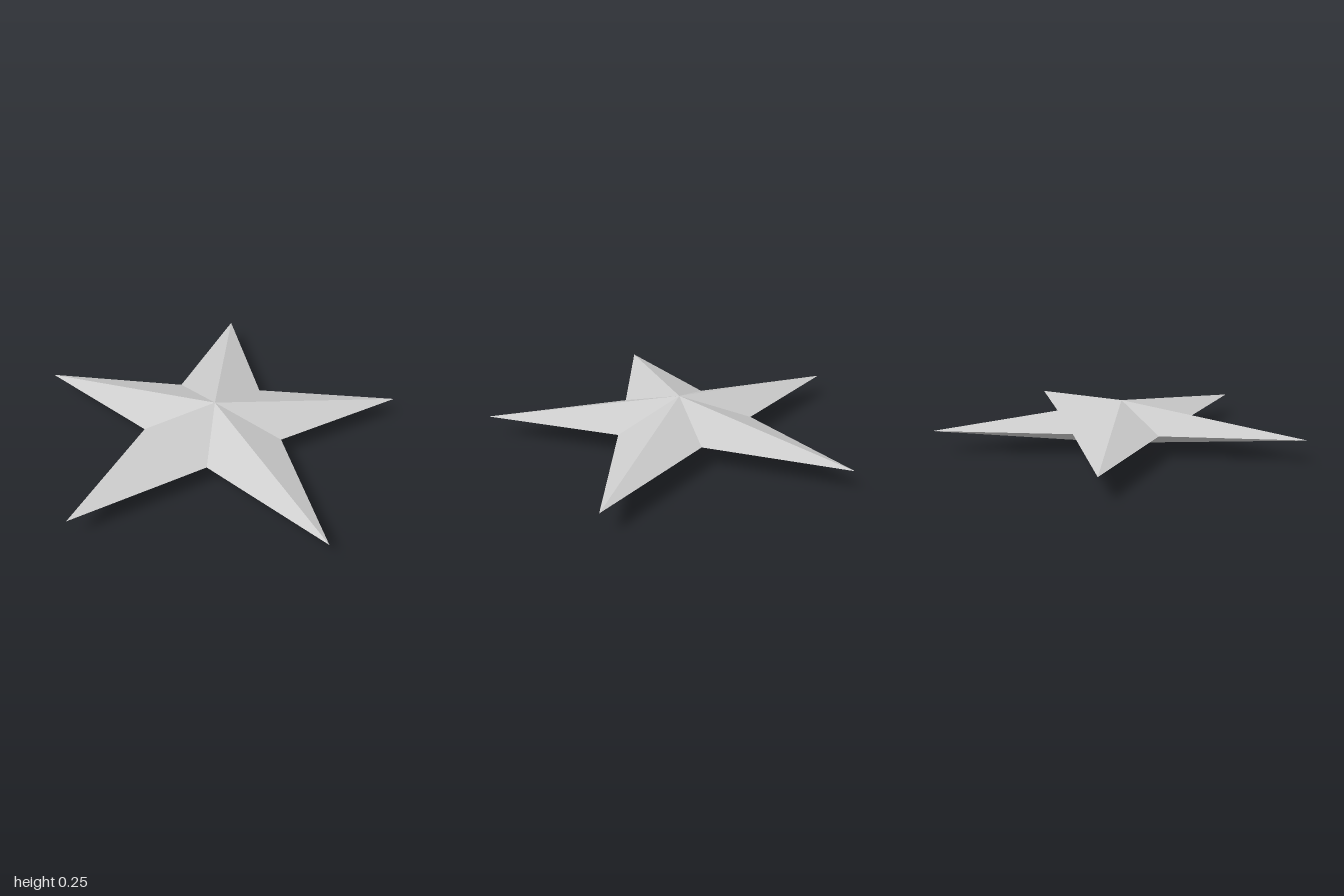
import * as THREE from 'three';

const ARMS = 5, OUTER = 1.051, INNER = 0.39, HALF_HEIGHT = 0.125;
const CENTRE_X = 0.1, TURN = -0.006;

// Rim of alternating tips and notches, counter-clockwise from above
function rimPoint(i) {
  const r = i % 2 === 0 ? OUTER : INNER;
  const a = Math.PI + TURN + (i * Math.PI) / ARMS;
  return [CENTRE_X + r * Math.cos(a), HALF_HEIGHT, -r * Math.sin(a)];
}

export function createModel() {
  const group = new THREE.Group();
  group.name = 'facetedStar';
  const material = new THREE.MeshStandardMaterial({ color: 0xcccccc, flatShading: true });
  const top = [CENTRE_X, 2 * HALF_HEIGHT, 0];
  const bottom = [CENTRE_X, 0, 0];

  // Each arm: two facets above and two below, from notch to tip to notch
  for (let arm = 0; arm < ARMS; arm++) {
    const tip = 2 * arm + 2 * ARMS;
    const before = rimPoint(tip - 1), point = rimPoint(tip), after = rimPoint(tip + 1);
    const corners = [
      top, before, point, top, point, after,
      bottom, point, before, bottom, after, point,
    ];
    const geometry = new THREE.BufferGeometry();
    geometry.setAttribute('position', new THREE.Float32BufferAttribute(corners.flat(), 3));
    geometry.computeVertexNormals();
    const mesh = new THREE.Mesh(geometry, material);
    mesh.name = `starArm${arm + 1}`;
    group.add(mesh);
  }
  return group;
}
